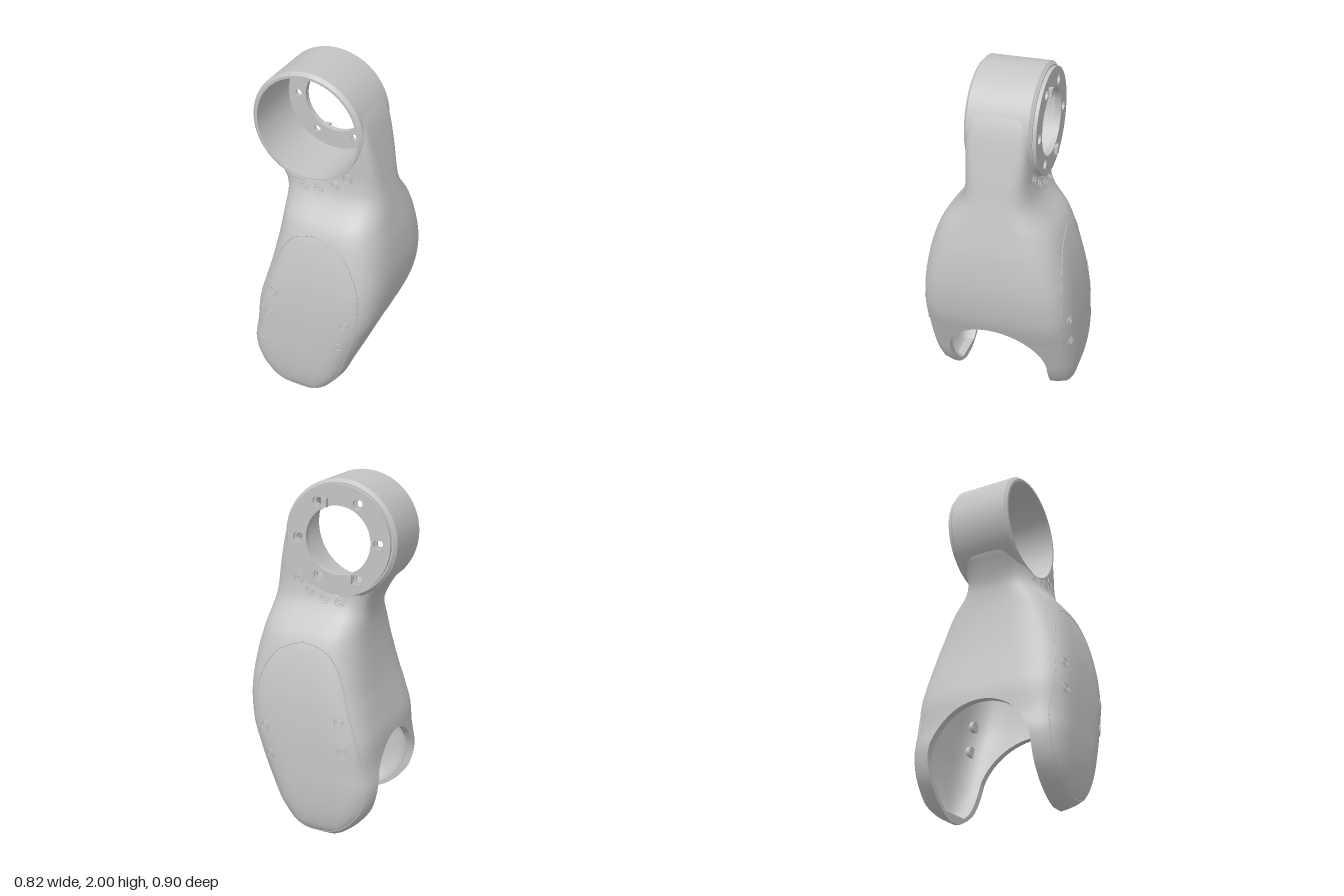
import * as THREE from 'three';
import { toCreasedNormals } from 'three/addons/utils/BufferGeometryUtils.js';

const CX = -0.09, CY = 1.68;         // centre of the joint ring
const COLS = 48;
const WALL = 0.042;

// body profile: height, left edge, right edge, half depth
const PROFILE = [
  [0, -0.115, -0.025, 0.322], [0.02, -0.167, 0.022, 0.36], [0.05, -0.214, 0.077, 0.396],
  [0.1, -0.272, 0.14, 0.422], [0.2, -0.342, 0.207, 0.441], [0.33, -0.372, 0.262, 0.449],
  [0.45, -0.36, 0.315, 0.448], [0.6, -0.35, 0.374, 0.443], [0.73, -0.317, 0.4, 0.433],
  [0.87, -0.28, 0.408, 0.416], [1.05, -0.248, 0.391, 0.376], [1.18, -0.235, 0.364, 0.325],
  [1.28, -0.237, 0.342, 0.24], [1.34, -0.255, 0.328, 0.205], [1.4, -0.285, 0.315, 0.19],
  [1.46, -0.32, 0.303, 0.183], [1.66, -0.4, 0.257, 0.181], [1.74, -0.4, 0.233, 0.181],
  [1.8, -0.4, 0.207, 0.181], [1.86, -0.4, 0.172, 0.181],
];

// smooth interpolation of the profile
function profile(y) {
  const P = PROFILE, last = P.length - 1;
  let i = 0;
  while (i < last - 1 && y > P[i + 1][0]) i++;
  const slope = (k, c) => {
    const a = P[Math.max(0, k - 1)], b = P[Math.min(last, k + 1)];
    return (b[c] - a[c]) / (b[0] - a[0]);
  };
  const h = P[i + 1][0] - P[i][0], t = (y - P[i][0]) / h, t2 = t * t, t3 = t2 * t;
  return [1, 2, 3].map(c => (2 * t3 - 3 * t2 + 1) * P[i][c] + (t3 - 2 * t2 + t) * h * slope(i, c)
    + (3 * t2 - 2 * t3) * P[i + 1][c] + (t3 - t2) * h * slope(i + 1, c));
}

// half width of the fork gap at a height
function gap(y) {
  if (y <= 0.25) return 0.3;
  if (y >= 0.555) return 0;
  return 0.3 * Math.sqrt(1 - ((y - 0.25) / 0.305) ** 2);
}

// centre, half width, half depth and squareness of one cross-section
function section(y, inset = 0, zin = gap(y)) {
  const [xl, xr, depth] = profile(y), d = depth - inset, blend = THREE.MathUtils.smoothstep;
  const n = 4.8 - 1.3 * blend(y, 0.6, 1.2) + 5 * blend(y, 1.3, 1.75);
  const hw = ((xr - xl) / 2 - inset) / Math.pow(1 - Math.pow(zin / d, n), 1 / n);
  return { c: (xl + xr) / 2, hw, d, n, zin };
}

// front half of one cross-section, as a row of points
function row(y, inset, zin, clamp = x => x) {
  const s = section(y, inset, zin);
  const a0 = Math.asin(Math.pow(s.zin / s.d, s.n / 2));
  return Array.from({ length: COLS + 1 }, (_, j) => {
    const a = a0 + (Math.PI - 2 * a0) * j / COLS, co = Math.cos(a);
    const x = s.c + s.hw * Math.sign(co) * Math.pow(Math.abs(co), 2 / s.n);
    return [clamp(x), y, s.d * Math.pow(Math.max(0, Math.sin(a)), 2 / s.n)];
  });
}

// height of the body's front surface
function surfaceZ(x, y) {
  const s = section(y), u = Math.min(1, Math.abs((x - s.c) / s.hw));
  return s.d * Math.pow(1 - Math.pow(u, s.n), 1 / s.n);
}

// skin rows of points, and add the mirrored copy behind
function skin(out, rows, flip = false) {
  for (const side of [1, -1]) {
    const put = (...pts) => pts.forEach(p => out.push(p[0], p[1], p[2] * side));
    for (let i = 0; i + 1 < rows.length; i++) for (let j = 0; j + 1 < rows[i].length; j++) {
      const a = rows[i][j], b = rows[i + 1][j], c = rows[i + 1][j + 1], d = rows[i][j + 1];
      if ((side > 0) !== flip) put(a, b, d, b, c, d);
      else put(a, d, b, b, d, c);
    }
  }
}

function steps(a, b, n) {
  return Array.from({ length: n }, (_, i) => a + (b - a) * i / n);
}

export function createModel() {
  const group = new THREE.Group();
  const grey = new THREE.MeshStandardMaterial({ color: 0xc4c4c4, side: THREE.DoubleSide });
  grey.name = 'housing grey';
  const add = (name, geo, parent = group) => {
    const m = new THREE.Mesh(geo, grey);
    m.name = name;
    parent.add(m);
    return m;
  };

  // hollow forked body
  const ys = [
    ...steps(0, 1, 14).map(t => 0.12 * t * t), ...steps(0.12, 0.25, 5),
    ...steps(0, Math.PI / 2, 22).map(a => 0.25 + 0.305 * Math.sin(a)),
    ...steps(0.555, 1.38, 36), 1.38,
  ];
  const outer = ys.map(y => row(y));
  const inner = ys.filter(y => y < 1.34)
    .map(y => row(y + 0.045 * Math.max(0, 1 - y / 0.2), WALL, gap(y)));
  const pos = [];
  skin(pos, outer);
  skin(pos, inner, true);

  // flat rim around the fork gap, closed at the tips
  const rim = inner.map((r, i) => ({ r, o: outer[i] })).filter((_, i) => ys[i] <= 0.556);
  skin(pos, rim.map(({ r, o }) => [r[0], o[0]]));
  skin(pos, rim.map(({ r, o }) => [o[COLS], r[COLS]]));
  const flat = pts => pts.map(([x, y]) => [x, y, 0.3]);
  skin(pos, [outer[0], flat(outer[0]), flat(inner[0]), inner[0]], true);

  // neck reaching up both sides of the ring
  const arc = y => Math.sqrt(Math.max(0, 0.09 - (y - CY) ** 2));
  const neckRows = (top, n, side) => [...steps(1.38, top, n), top].map(y =>
    row(y, 0, 0, x => (side > 0 ? Math.max(x, CX + arc(y)) : Math.min(x, CX - arc(y)))));
  skin(pos, neckRows(1.85, 30, 1));
  skin(pos, neckRows(1.46, 8, -1));
  const body = new THREE.BufferGeometry();
  body.setAttribute('position', new THREE.Float32BufferAttribute(pos, 3));
  add('forkedBody', toCreasedNormals(body, 0.6));

  // joint ring with chamfered rims and an open front bore
  const ringProfile = [[0.29, -0.185], [0.303, -0.185], [0.32, -0.167], [0.32, 0.167],
    [0.303, 0.183], [0.29, 0.183], [0.29, -0.185]].map(p => new THREE.Vector2(...p));
  const ring = new THREE.LatheGeometry(ringProfile, 96).rotateX(Math.PI / 2);
  add('jointRing', toCreasedNormals(ring, 0.5)).position.set(CX, CY, 0);

  // flange closing the back of the ring, in two layers for the countersunk bolt holes
  for (const [z, radius] of [[-0.1875, 0.018], [-0.205, 0.028]]) {
    const flange = new THREE.Shape().absarc(0, 0, 0.295, 0, Math.PI * 2);
    const hole = (x, y, r) => flange.holes.push(new THREE.Path().absarc(x, y, r, 0, Math.PI * 2, true));
    hole(0, 0, 0.185);
    for (let i = 0; i < 6; i++) {
      const a = i * Math.PI / 3;
      hole(0.23 * Math.cos(a), 0.23 * Math.sin(a), radius);
    }
    const geo = new THREE.ExtrudeGeometry(flange, { depth: 0.0175, bevelEnabled: false, curveSegments: 48 });
    add('backFlange', toCreasedNormals(geo, 0.5)).position.set(CX, CY, z);
  }
  for (const s of [1, -1]) {
    add('locatingTab', new THREE.BoxGeometry(0.03, 0.046, 0.026)).position.set(CX + 0.07 * s, CY + 0.197 * s, -0.213);
  }

  // side covers' seams and screws, front and back
  const outline = new THREE.SplineCurve([[0.05, 1.145], [0.19, 1.09], [0.28, 0.96], [0.318, 0.8],
    [0.305, 0.6], [0.25, 0.4], [0.19, 0.22], [0.1, 0.09], [-0.05, 0.045], [-0.2, 0.09],
    [-0.3, 0.2], [-0.335, 0.34], [-0.295, 0.575], [-0.225, 0.81], [-0.165, 1.0],
    [-0.08, 1.11], [0.05, 1.145]].map(p => new THREE.Vector2(...p)));
  const seamPts = outline.getPoints(120).slice(0, -1)
    .map(p => new THREE.Vector3(p.x, p.y, surfaceZ(p.x, p.y)));
  const seamGeo = new THREE.TubeGeometry(new THREE.CatmullRomCurve3(seamPts, true), 240, 0.003, 6, true);
  const coverScrews = [[-0.19, 0.745], [-0.22, 0.585], [0.25, 0.655], [0.22, 0.49]];
  const neckScrews = [[-0.1, 1.345], [-0.01, 1.355], [0.08, 1.39], [0.15, 1.445]];
  for (const side of ['front', 'back']) {
    const half = new THREE.Group();
    half.name = side + 'Details';
    if (side === 'back') half.scale.z = -1;
    group.add(half);
    add('coverSeam', seamGeo, half);
    for (const [x, y] of [...coverScrews, ...neckScrews]) {
      const e = 0.01, screw = new THREE.Group();
      const n = new THREE.Vector3((surfaceZ(x - e, y) - surfaceZ(x + e, y)) / (2 * e),
        (surfaceZ(x, y - e) - surfaceZ(x, y + e)) / (2 * e), 1).normalize();
      screw.name = 'screwHole';
      screw.position.set(x, y, surfaceZ(x, y));
      screw.quaternion.setFromUnitVectors(new THREE.Vector3(0, 0, 1), n);
      half.add(screw);
      add('holeRim', new THREE.TorusGeometry(0.026, 0.003, 6, 24), screw);
      add('holeCentre', new THREE.TorusGeometry(0.013, 0.003, 6, 20), screw);
    }
    // screw bosses inside the shell
    for (const [x, y] of coverScrews) {
      const boss = new THREE.CylinderGeometry(0.035, 0.035, 0.04, 20).rotateX(Math.PI / 2);
      add('screwBoss', boss, half).position.set(x, y, surfaceZ(x, y) - 0.045);
    }
  }
  return group;
}
